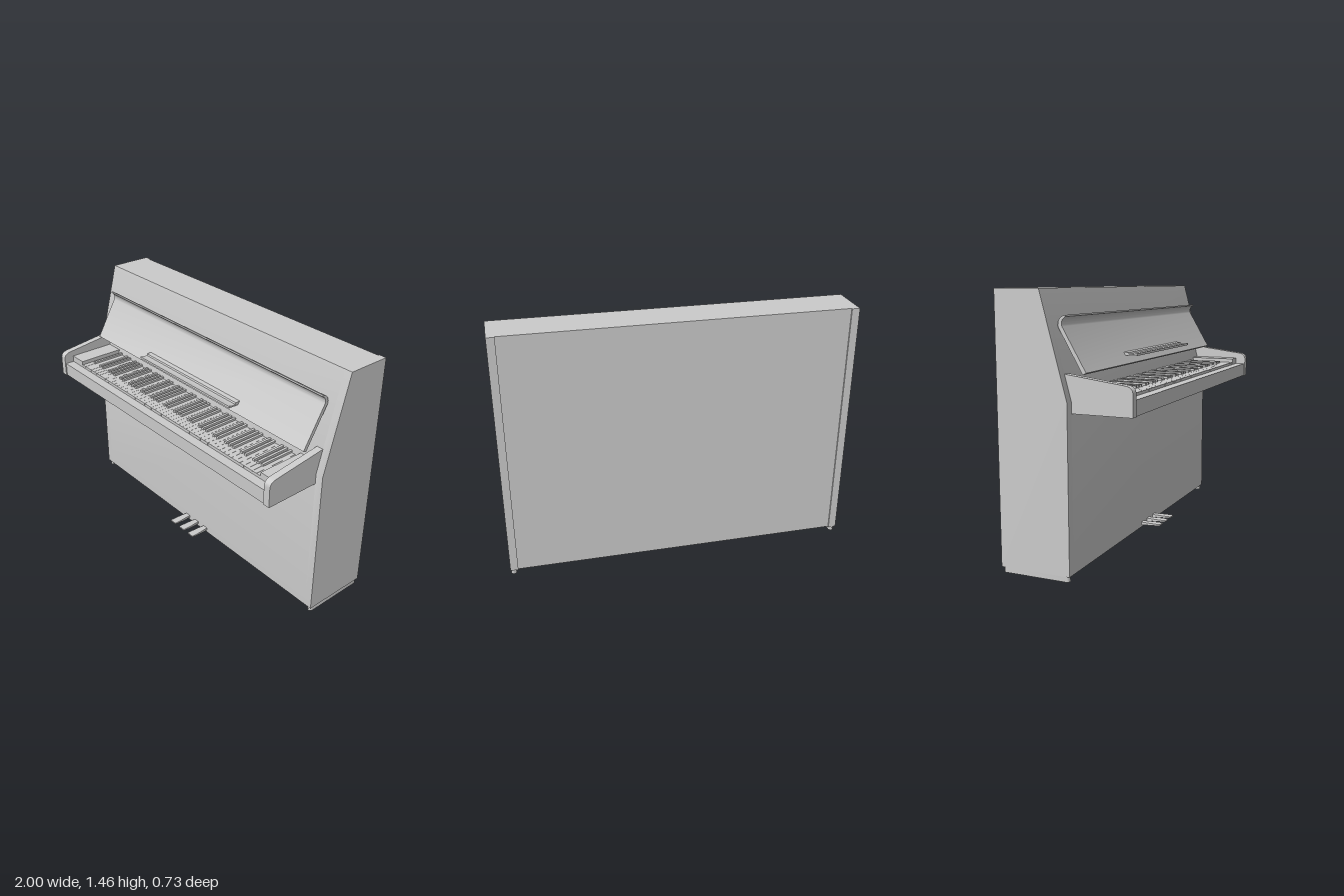
import * as THREE from 'three';
import { toCreasedNormals } from 'three/addons/utils/BufferGeometryUtils.js';

const material = new THREE.MeshStandardMaterial({ color: 0xcccccc });

export function createModel() {
  const model = new THREE.Group();
  model.name = 'uprightPiano';

  const add = (name, geometry, parent = model) => {
    const mesh = new THREE.Mesh(geometry, material);
    mesh.name = name;
    parent.add(mesh);
    return mesh;
  };
  // Box given by its limits on each axis
  const box = (name, x0, x1, y0, y1, z0, z1, parent) =>
    add(name, new THREE.BoxGeometry(x1 - x0, y1 - y0, z1 - z0), parent)
      .position.set((x0 + x1) / 2, (y0 + y1) / 2, (z0 + z1) / 2);
  // Side profile drawn in (z, y), extruded from x0 to x1
  const profile = (name, shape, x0, x1, parent) => {
    const g = new THREE.ExtrudeGeometry(shape, { depth: x1 - x0, bevelEnabled: false, curveSegments: 10 });
    g.rotateY(-Math.PI / 2).translate(x1, 0, 0);
    return add(name, toCreasedNormals(g, 0.6), parent);
  };
  const polygon = (points) => new THREE.Shape(points.map(([z, y]) => new THREE.Vector2(z, y)));

  // Case: two side panels, with the back between them set in slightly
  const caseShape = (back) => polygon([
    [back, 0.03], [0.035, 0.03], [0.035, 0.91], [-0.11, 1.455], [back, 1.455],
  ]);
  profile('caseBody', caseShape(-0.354), -0.955, 0.955);
  for (const s of [-1, 1]) {
    const [a, b] = s < 0 ? [-1, -0.955] : [0.955, 1];
    profile('sidePanel', caseShape(-0.362), a, b);
  }

  // Foot rails with rounded ends
  for (const s of [-1, 1]) {
    const foot = new THREE.Shape();
    const hw = 0.016;
    foot.absarc(0, 0.012, hw, 0, Math.PI, false);
    foot.absarc(0, -0.339, hw, Math.PI, Math.PI * 2, false);
    const g = new THREE.ExtrudeGeometry(foot, { depth: 0.031, bevelEnabled: false, curveSegments: 8 });
    // Shape y becomes z, thickness runs downwards
    g.rotateX(Math.PI / 2).translate(s * 0.979, 0.031, 0);
    add('footRail', toCreasedNormals(g, 0.6));
  }

  // Keyboard cheeks with a rounded front shoulder
  const cheek = new THREE.Shape();
  cheek.moveTo(0, 0.85);
  cheek.lineTo(0.363, 0.85);
  cheek.lineTo(0.363, 0.96);
  cheek.bezierCurveTo(0.363, 0.985, 0.35, 0.998, 0.32, 1.002);
  cheek.lineTo(0, 1.043);
  profile('leftCheek', cheek, 0.915, 0.955);
  profile('rightCheek', cheek, -0.955, -0.915);

  // Key bed, front rail and end blocks
  box('keyBed', -0.915, 0.915, 0.85, 0.915, 0.02, 0.302);
  box('frontRail', -0.915, 0.915, 0.85, 0.93, 0.302, 0.356);
  const keyLeft = -0.805, keyRight = 0.827;
  box('rightEndBlock', -0.915, keyLeft, 0.915, 0.968, 0.02, 0.302);
  box('leftEndBlock', keyRight, 0.915, 0.915, 0.968, 0.02, 0.302);

  // 52 white keys from A up to C, with black keys after all but B and E
  const keyboard = new THREE.Group();
  keyboard.name = 'keyboard';
  model.add(keyboard);
  const step = (keyRight - keyLeft) / 52;
  const blackShape = polygon([[0.02, 0.92], [0.237, 0.92], [0.231, 0.957], [0.02, 0.957]]);
  for (let i = 0; i < 52; i++) {
    const x = keyLeft + i * step;
    box('whiteKey', x + 0.0005, x + step - 0.0005, 0.915, 0.945, 0.02, 0.3, keyboard);
    const note = i % 7; // A B C D E F G
    if (note !== 1 && note !== 4 && i < 51) {
      const c = x + step;
      profile('blackKey', blackShape, c - 0.0075, c + 0.0075, keyboard);
    }
  }

  // Open fallboard leaning on the case, curling forward at its top
  const lid = new THREE.Shape();
  lid.moveTo(0.077, 1.037);
  lid.lineTo(0.096, 1.047);
  lid.lineTo(-0.034, 1.27);
  lid.bezierCurveTo(-0.042, 1.29, -0.032, 1.308, -0.014, 1.318);
  lid.lineTo(-0.016, 1.326);
  lid.bezierCurveTo(-0.045, 1.32, -0.06, 1.298, -0.056, 1.268);
  lid.closePath();
  profile('fallboard', lid, -0.913, 0.913);

  // Music ledge: thin shelf with a front lip and a back hinge block
  profile('musicLedge', polygon([
    [0.05, 1.088], [0.138, 1.088], [0.138, 1.101], [0.132, 1.101], [0.12, 1.096],
    [0.092, 1.096], [0.088, 1.105], [0.05, 1.108],
  ]), -0.4, 0.4);

  // Pedals: flat wedges that widen towards the tip
  for (const x of [-0.086, 0, 0.086]) {
    const g = new THREE.BoxGeometry(0.046, 0.018, 0.14, 1, 1, 4);
    const p = g.attributes.position;
    for (let i = 0; i < p.count; i++) {
      const t = p.getZ(i) / 0.14 + 0.5; // 0 at the case, 1 at the tip
      p.setX(i, p.getX(i) * (0.65 + 0.35 * Math.min(1, t * 1.6)));
      if (p.getY(i) < 0) p.setY(i, -0.009 + 0.01 * t);
    }
    g.computeVertexNormals();
    add('pedal', toCreasedNormals(g, 0.4)).position.set(x, 0.052, 0.088);
  }

  return model;
}
